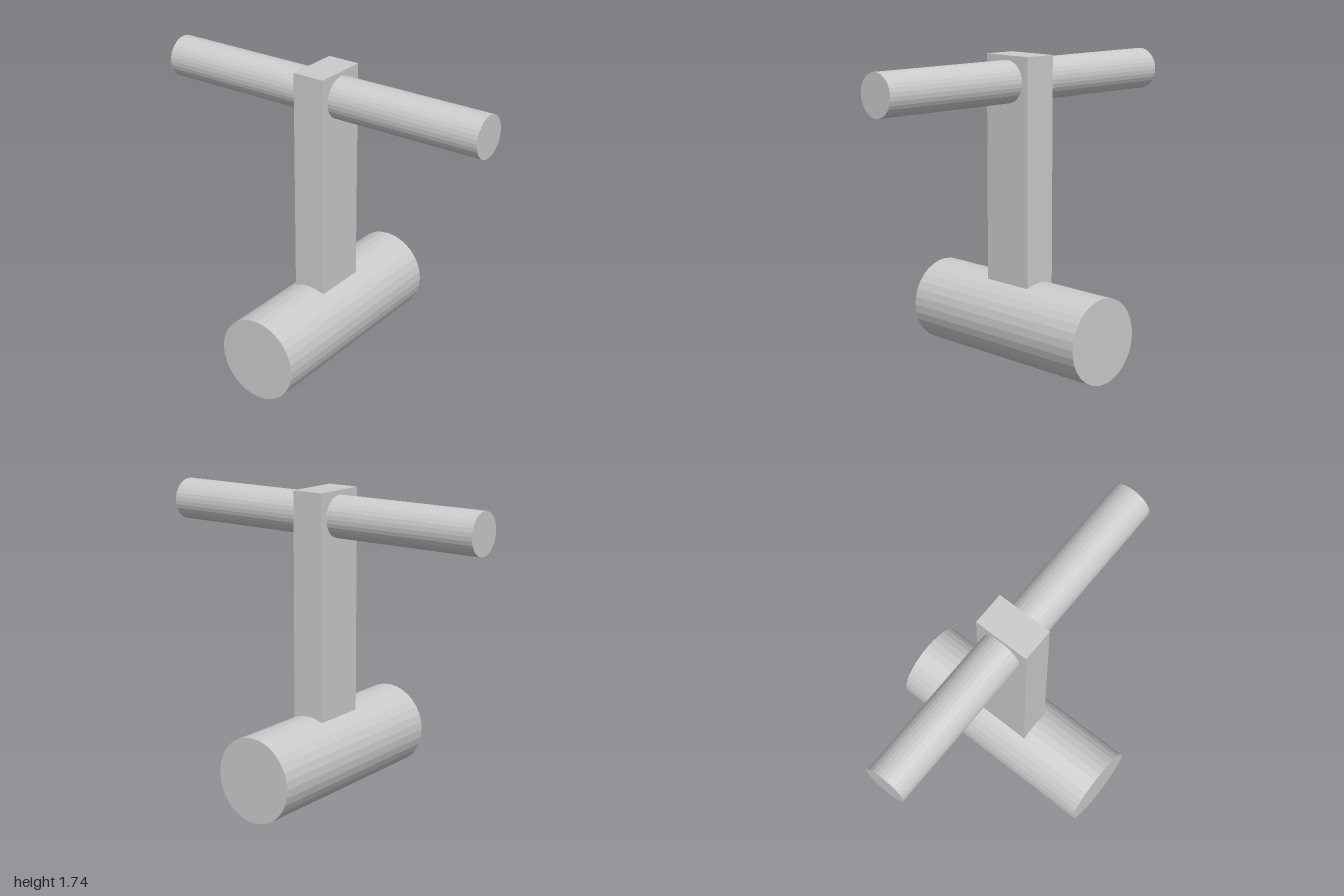
import * as THREE from 'three';

export function createModel() {
  const group = new THREE.Group();
  const material = new THREE.MeshStandardMaterial({ color: 0xcccccc, flatShading: true });

  const add = (name, geometry, y) => {
    const mesh = new THREE.Mesh(geometry, material);
    mesh.name = name;
    mesh.position.y = y;
    group.add(mesh);
  };

  // Thick cylinder lying left to right, very slightly taller than deep
  const base = new THREE.CylinderGeometry(0.24, 0.24, 1.28, 32);
  base.rotateZ(Math.PI / 2).scale(1, 1, 0.975);
  add('baseCylinder', base, 0.24);

  // Upright post, sunk into the base
  const bottom = 0.3, top = 1.735;
  add('post', new THREE.BoxGeometry(0.32, top - bottom, 0.19), (top + bottom) / 2);

  // Crossbar running front to back through the top of the post
  const bar = new THREE.CylinderGeometry(0.118, 0.118, 2, 32);
  bar.rotateX(Math.PI / 2);
  add('crossbar', bar, 1.592);

  return group;
}
